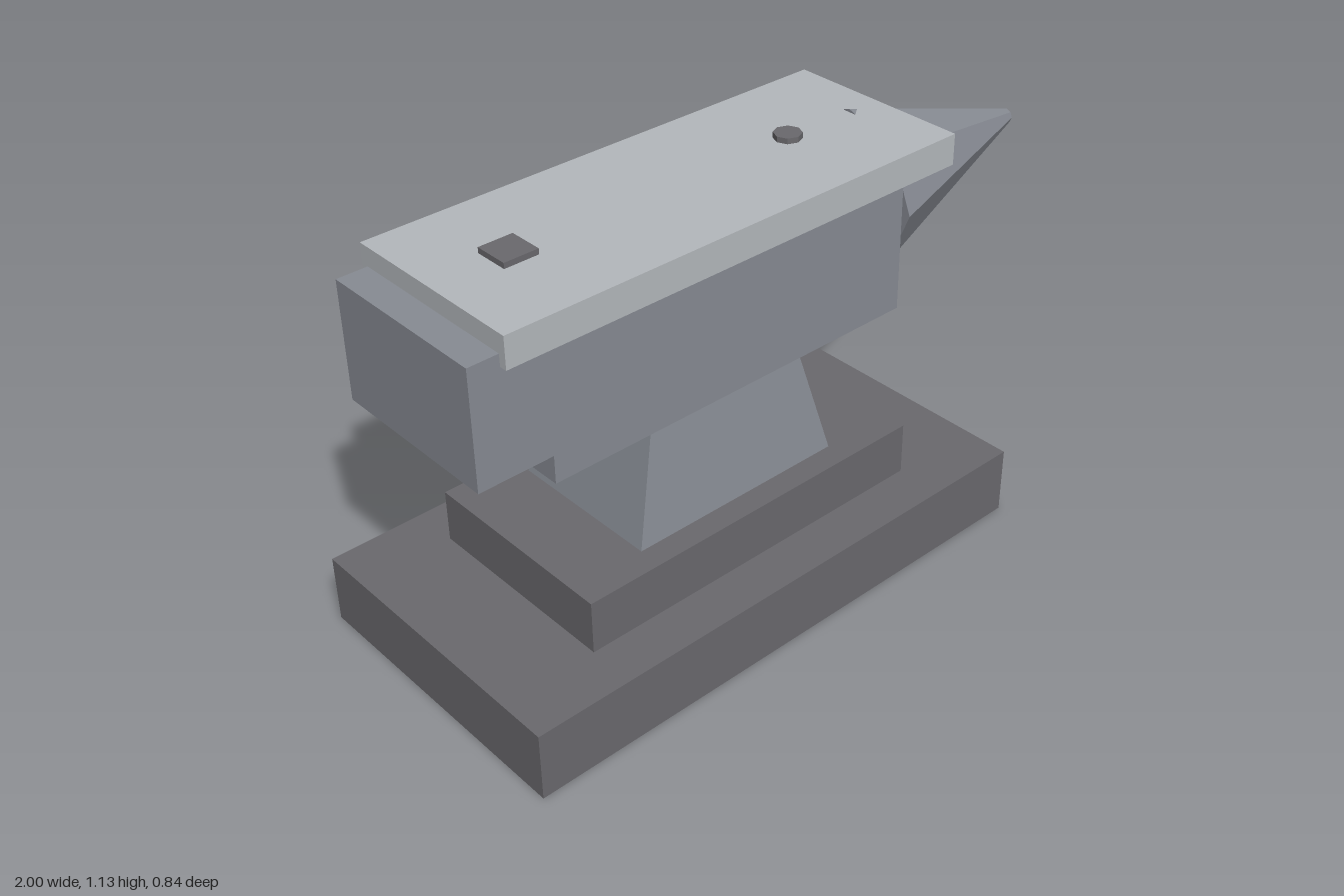
import * as THREE from 'three';

const mat = (name, color) => {
  const m = new THREE.MeshStandardMaterial({ color });
  m.name = name;
  return m;
};

export function createModel() {
  const anvil = new THREE.Group();
  anvil.name = 'anvil';
  const dark = mat('dark iron', 0x6a696d);
  const steel = mat('grey steel', 0x878b93);
  const bright = mat('polished steel', 0xb4b8bc);

  const add = (name, geometry, material) => {
    const mesh = new THREE.Mesh(geometry, material);
    mesh.name = name;
    anvil.add(mesh);
    return mesh;
  };
  // Box given by its x and y limits and its half depth
  const block = (name, x0, x1, y0, y1, halfZ, material) =>
    add(name, new THREE.BoxGeometry(x1 - x0, y1 - y0, halfZ * 2), material)
      .position.set((x0 + x1) / 2, (y0 + y1) / 2, 0);

  // Stepped base
  block('basePlinth', -1, 0.578, 0, 0.19, 0.421, dark);
  block('baseStep', -0.737, 0.311, 0.19, 0.336, 0.289, dark);

  // Waist: a box narrowed towards its top
  const waist = new THREE.BoxGeometry(0.63, 0.32, 0.442);
  const p = waist.attributes.position;
  for (let i = 0; i < p.count; i++) {
    if (p.getY(i) > 0) {
      p.setX(i, p.getX(i) * 0.745);
      p.setZ(i, p.getZ(i) * 0.805);
    }
  }
  const flatWaist = waist.toNonIndexed();
  flatWaist.computeVertexNormals();
  add('waist', flatWaist, steel).position.set(-0.214, 0.496, 0);

  // Body, heel and working face
  block('body', -0.763, 0.337, 0.656, 1.036, 0.221, steel);
  block('heel', -0.979, -0.753, 0.75, 1.066, 0.242, steel);
  block('facePlate', -0.897, 0.469, 1.034, 1.118, 0.263, bright);

  // Eight-sided horn
  const horn = new THREE.CylinderGeometry(0.02, 0.22, 0.632, 8);
  horn.rotateZ(-Math.PI / 2);
  const flatHorn = horn.toNonIndexed();
  flatHorn.computeVertexNormals();
  add('horn', flatHorn, steel).position.set(0.684, 0.907, 0);

  // Dark square and round tool sockets
  block('squareSocket', -0.735, -0.641, 1.105, 1.133, 0.047, dark);
  const round = new THREE.CylinderGeometry(0.037, 0.037, 0.028, 8).toNonIndexed();
  round.computeVertexNormals();
  add('roundSocket', round, dark).position.set(0.154, 1.119, 0);

  return anvil;
}
